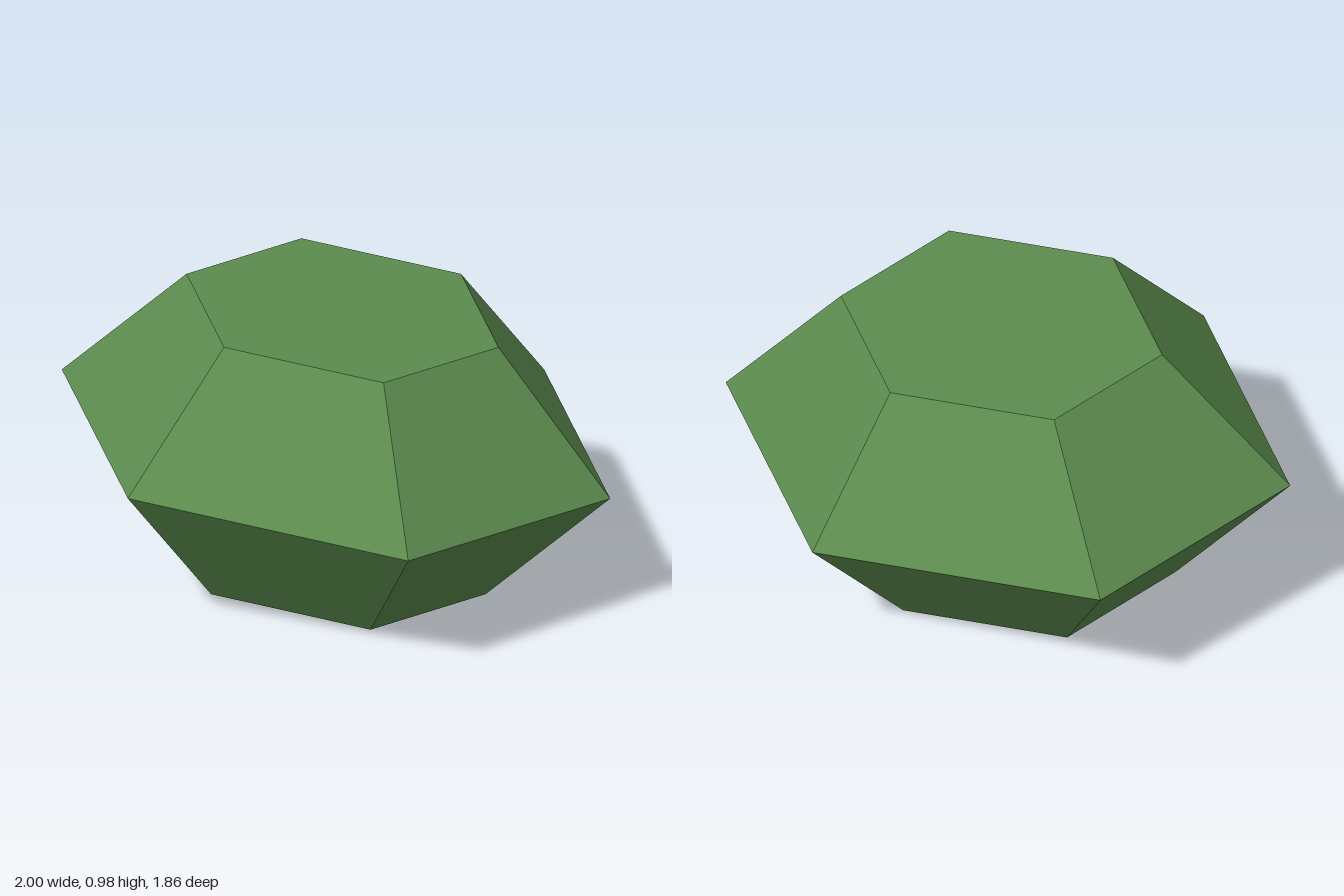
import * as THREE from 'three';

// Half of the widest hexagon as [x, z]; the other half is its point mirror
const HALF = [[1, 0.24], [0.43, 0.93], [-0.587, 0.713]];
const HEXAGON = [...HALF, ...HALF.map(([x, z]) => [-x, -z])];
const TILT = -0.0478; // the whole stone leans slightly down towards +x

// One tilted hexagonal cross-section
function ring(scale, height, shiftX, shiftZ) {
  return HEXAGON.map(([x, z]) => {
    const px = x * scale + shiftX;
    return [px, height + TILT * px, z * scale + shiftZ];
  });
}

export function createModel() {
  const group = new THREE.Group();
  group.name = 'facetedStone';
  const green = new THREE.MeshStandardMaterial({ color: 0x5c8c4e });
  green.name = 'mossGreen';

  // Bottom, girdle and top rings
  const rings = [
    ring(0.569, 0.032, -0.022, 0.003),
    ring(1, 0.4975, 0, 0),
    ring(0.569, 0.963, 0.022, -0.003),
  ];
  const [bottom, , top] = rings;
  const points = [];

  // Sloping side facets
  for (let r = 0; r < 2; r++) {
    for (let i = 0; i < 6; i++) {
      const j = (i + 1) % 6;
      const [low, high] = [rings[r], rings[r + 1]];
      points.push(low[i], high[i], low[j], low[j], high[i], high[j]);
    }
  }
  // Flat caps
  for (let i = 1; i < 5; i++) {
    points.push(top[0], top[i + 1], top[i]);
    points.push(bottom[0], bottom[i], bottom[i + 1]);
  }

  // Unshared corners keep every facet flat
  const geometry = new THREE.BufferGeometry();
  geometry.setAttribute('position', new THREE.Float32BufferAttribute(points.flat(), 3));
  geometry.computeVertexNormals();

  const stone = new THREE.Mesh(geometry, green);
  stone.name = 'stone';
  group.add(stone);
  return group;
}
